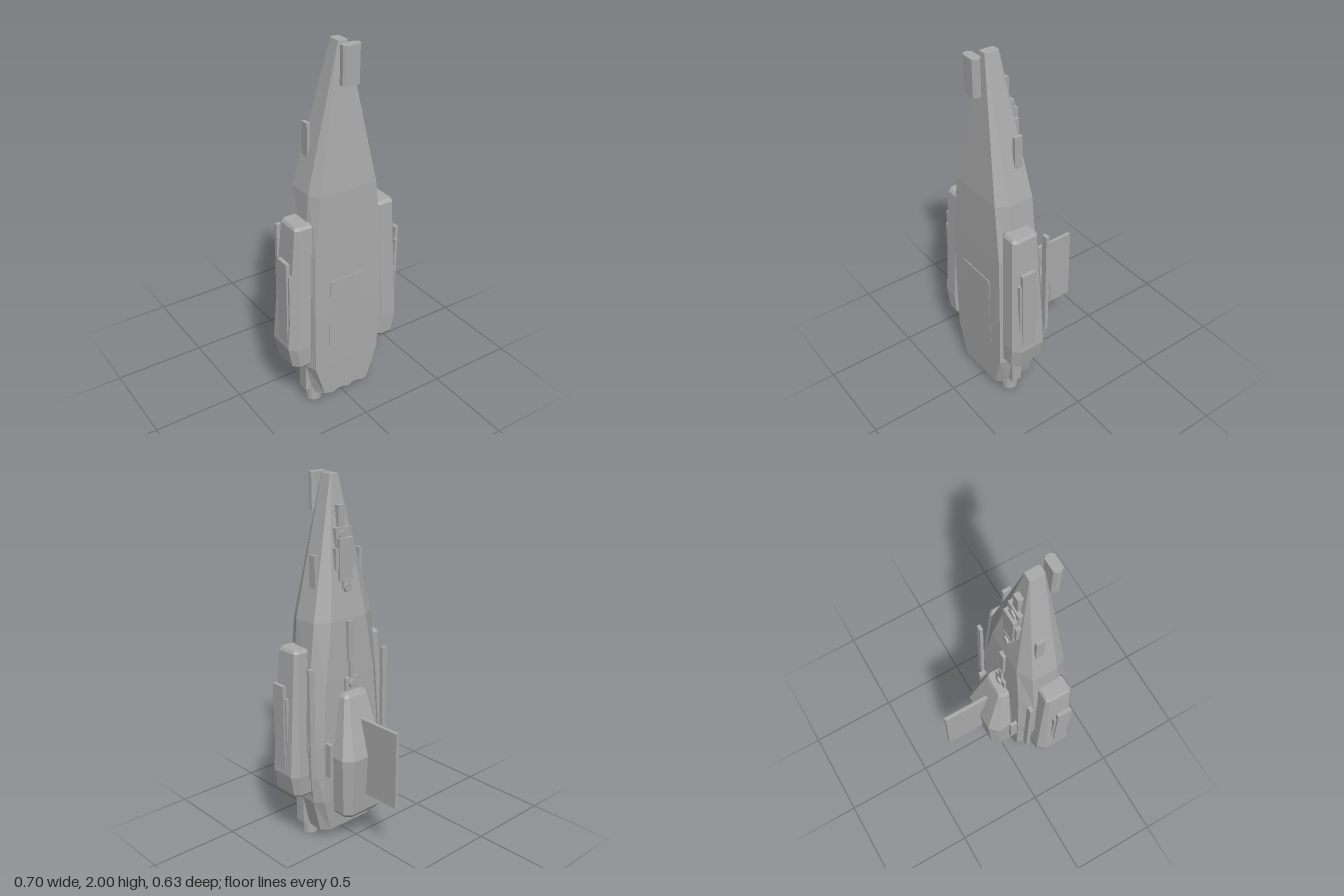
import * as THREE from 'three';

const hullGrey = new THREE.MeshStandardMaterial({ color: 0xaaaaaa });
hullGrey.name = 'hull grey';
hullGrey.flatShading = true;

// Skin between rings of [x, z] points; rings run from top to bottom.
function loft(rings) {
  const pos = [];
  const put = (r, i) => {
    const p = r.pts[i % r.pts.length];
    pos.push(p[0], r.y, p[1]);
  };
  const n = rings[0].pts.length;
  for (let k = 0; k < rings.length - 1; k++) {
    const a = rings[k], b = rings[k + 1];
    for (let i = 0; i < n; i++) {
      put(a, i); put(a, i + 1); put(b, i);
      put(a, i + 1); put(b, i + 1); put(b, i);
    }
  }
  const top = rings[0], low = rings[rings.length - 1];
  for (let i = 1; i < n - 1; i++) {
    put(top, 0); put(top, i + 1); put(top, i);
    put(low, 0); put(low, i); put(low, i + 1);
  }
  const g = new THREE.BufferGeometry();
  g.setAttribute('position', new THREE.Float32BufferAttribute(pos, 3));
  g.computeVertexNormals();
  return g;
}

// Rectangle with cut corners
const cutRect = (y, x0, x1, z0, z1, c) => ({
  y,
  pts: [[x1 - c, z0], [x1, z0 + c], [x1, z1 - c], [x1 - c, z1],
    [x0 + c, z1], [x0, z1 - c], [x0, z0 + c], [x0 + c, z0]],
});

// Symmetric hull ring: half widths and depths from back to front
const hullRing = (y, ...v) => {
  const half = [0, 2, 4, 6].map((i) => [v[i], v[i + 1]]);
  return { y, pts: [...half, ...half.map(([x, z]) => [-x, z]).reverse()] };
};

export function createModel() {
  const model = new THREE.Group();
  model.name = 'spaceship';

  const add = (name, geometry, parent = model) => {
    const m = new THREE.Mesh(geometry, hullGrey);
    m.name = name;
    parent.add(m);
    return m;
  };
  const box = (name, x0, x1, y0, y1, z0, z1) =>
    add(name, new THREE.BoxGeometry(x1 - x0, y1 - y0, z1 - z0)
      .translate((x0 + x1) / 2, (y0 + y1) / 2, (z0 + z1) / 2));
  const mirrorBox = (name, x0, x1, ...rest) => {
    box(name + 'Left', x0, x1, ...rest);
    box(name + 'Right', -x1, -x0, ...rest);
  };
  // Round knob whose axis points to the back
  const knob = (name, y, z, r, h) =>
    add(name, new THREE.CylinderGeometry(r, r, h, 12).rotateX(Math.PI / 2).translate(0, y, z));

  // Main hull
  add('hull', loft([
    hullRing(2.0, 0.02, 0.155, 0.026, 0.163, 0.026, 0.227, 0.02, 0.235),
    hullRing(1.27, 0.12, 0.055, 0.2, 0.1, 0.2, 0.24, 0.165, 0.30),
    hullRing(0.95, 0.17, 0.045, 0.235, 0.1, 0.225, 0.245, 0.2, 0.307),
    hullRing(0.6, 0.195, 0.04, 0.26, 0.1, 0.225, 0.25, 0.205, 0.313),
    hullRing(0.25, 0.19, 0.045, 0.225, 0.1, 0.225, 0.25, 0.2, 0.313),
    hullRing(0.06, 0.14, 0.06, 0.18, 0.1, 0.18, 0.25, 0.14, 0.311),
  ]));
  box('bellyPanel', -0.115, 0.115, 0.35, 0.78, 0.30, 0.315);

  // Engine block and four thrusters
  add('engineBlock', loft([
    cutRect(0.07, -0.17, 0.17, 0.10, 0.295, 0.03),
    cutRect(0.045, -0.17, 0.17, 0.11, 0.29, 0.03),
    cutRect(0.03, -0.15, 0.15, 0.13, 0.275, 0.03),
  ]));
  for (const x of [-0.155, -0.052, 0.052, 0.155]) {
    const h = Math.abs(x) > 0.1 ? 0.2 : 0.1;
    add('thruster', new THREE.CylinderGeometry(0.045, 0.045, h, 16).translate(x, h / 2, 0.22));
  }
  mirrorBox('engineStrut', 0.185, 0.224, 0.08, 0.32, 0.19, 0.25);

  // Side pods with their outer plates
  for (const s of [1, -1]) {
    const side = s > 0 ? 'Left' : 'Right';
    const ring = (y, x0, x1, z0, z1, c) =>
      cutRect(y, Math.min(s * x0, s * x1), Math.max(s * x0, s * x1), z0, z1, c);
    add('pod' + side, loft([
      ring(1.13, 0.2, 0.288, 0.142, 0.273, 0.012),
      ring(1.115, 0.19, 0.298, 0.132, 0.284, 0.015),
      ring(0.43, 0.2, 0.349, 0.1, 0.315, 0.035),
      ring(0.315, 0.2, 0.326, 0.11, 0.31, 0.03),
      ring(0.3, 0.21, 0.312, 0.12, 0.3, 0.025),
    ]));
  }
  mirrorBox('podPlate', 0.32, 0.338, 0.46, 0.87, 0.172, 0.28);
  mirrorBox('podRail', 0.326, 0.347, 0.46, 0.94, 0.186, 0.268);

  // Rods and small boxes around the hull
  mirrorBox('backRod', 0.245, 0.278, 0.42, 1.05, 0.05, 0.07);
  mirrorBox('backBox', 0.167, 0.186, 0.42, 0.615, 0.0, 0.06);
  mirrorBox('noseSensor', 0.143, 0.162, 1.44, 1.61, 0.13, 0.175);

  // Detached block in front of the nose
  add('noseBlock', loft([2.0, 1.81].map((y) => cutRect(y, -0.05, 0.05, 0.264, 0.315, 0.014))));

  // Back nacelle and fin
  add('backNacelle', loft([
    cutRect(0.87, -0.072, 0.072, -0.008, 0.06, 0.015),
    cutRect(0.855, -0.082, 0.082, -0.016, 0.06, 0.018),
    cutRect(0.53, -0.153, 0.153, -0.105, 0.06, 0.045),
    cutRect(0.195, -0.135, 0.135, -0.08, 0.07, 0.035),
    cutRect(0.175, -0.12, 0.12, -0.065, 0.07, 0.03),
  ]));
  box('fin', -0.01, 0.01, 0.3, 0.735, -0.315, -0.05);

  // Upper turret on the back of the nose
  box('upperBarrel', -0.022, 0.022, 1.70, 1.85, 0.105, 0.15);
  box('upperCross', -0.05, 0.05, 1.66, 1.74, 0.095, 0.13);
  knob('upperKnob', 1.70, 0.1, 0.027, 0.03);
  box('turretBody', -0.045, 0.045, 1.47, 1.69, 0.07, 0.115);
  box('turretWings', -0.064, 0.064, 1.53, 1.64, 0.078, 0.11);
  box('turretFoot', -0.025, 0.025, 1.42, 1.48, 0.066, 0.1);
  knob('turretKnob', 1.435, 0.07, 0.025, 0.03);

  // Spine and lower turret above the nacelle
  box('spine', -0.02, 0.02, 1.04, 1.26, 0.036, 0.08);
  box('spineLower', -0.012, 0.012, 0.93, 1.05, 0.03, 0.07);
  box('lowerTurret', -0.045, 0.045, 0.88, 0.95, 0.03, 0.06);
  knob('lowerKnob', 0.915, 0.03, 0.024, 0.026);

  return model;
}
